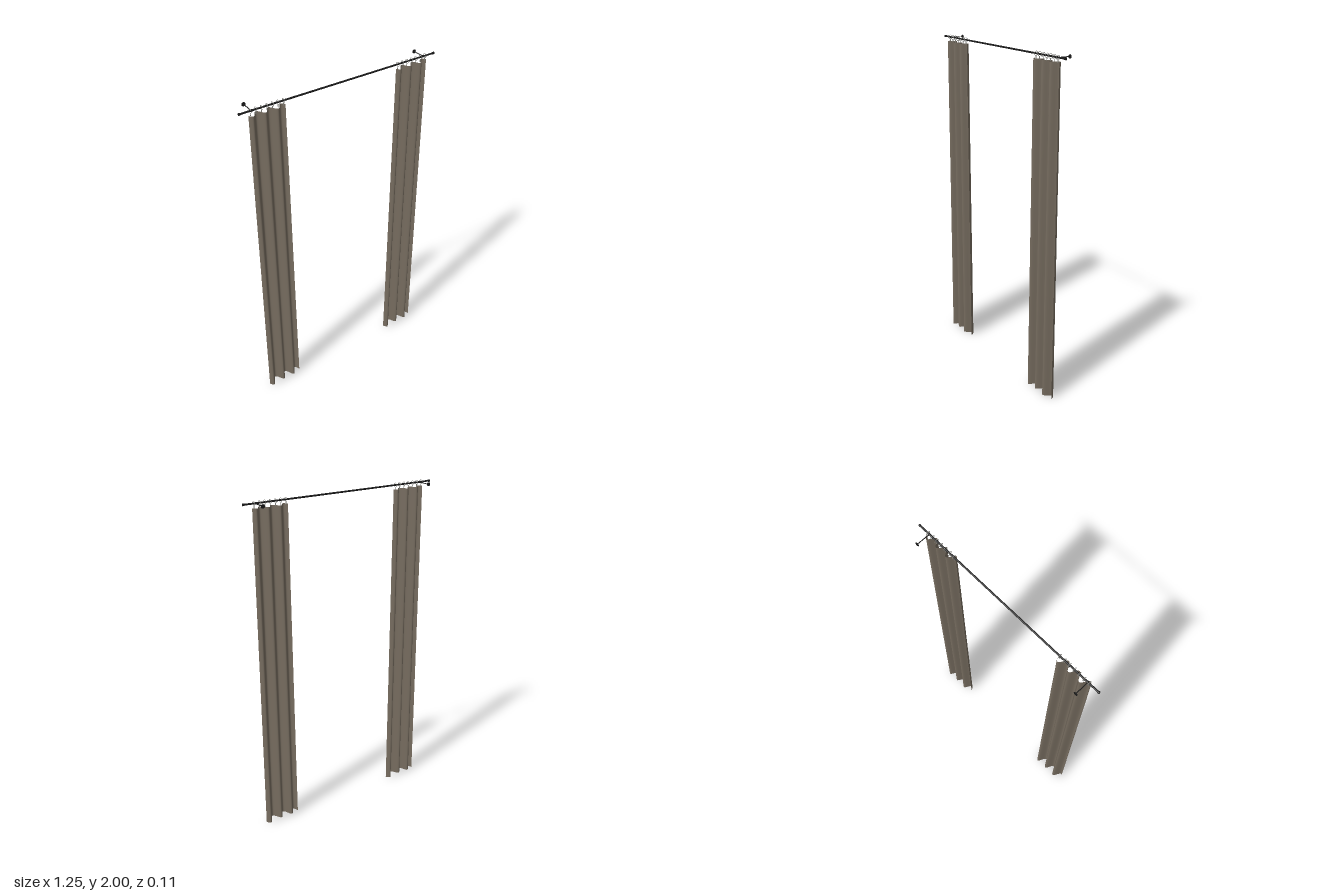
import * as THREE from 'three';

const ROD_Y = 1.987, ROD_Z = 0.027, CURTAIN_X = 0.463, RINGS = 7;

const black = new THREE.MeshStandardMaterial({ color: 0x1a1a1a });
const metal = new THREE.MeshStandardMaterial({ color: 0x8c8c86 });
const fabric = new THREE.MeshStandardMaterial({ color: 0x766c5f, side: THREE.DoubleSide });

function add(parent, name, geometry, material, x = 0, y = 0, z = 0) {
  const mesh = new THREE.Mesh(geometry, material);
  mesh.name = name;
  mesh.position.set(x, y, z);
  parent.add(mesh);
  return mesh;
}

// Cylinder lying along x or z
function bar(radius, length, axis, sides = 16) {
  const g = new THREE.CylinderGeometry(radius, radius, length, sides);
  return axis === 'x' ? g.rotateZ(Math.PI / 2) : g.rotateX(Math.PI / 2);
}

// Pleated sheet: three sine folds, flaring slightly towards an arched hem
function curtainGeometry() {
  const g = new THREE.PlaneGeometry(1, 1, 72, 16);
  const p = g.attributes.position;
  for (let i = 0; i < p.count; i++) {
    const u = p.getX(i) + 0.5;
    const v = p.getY(i) + 0.5;
    const drop = 1 - v;
    const hem = 0.003 + 0.013 * Math.sin(Math.PI * u);
    const width = 0.215 + 0.01 * drop;
    const depth = 0.021 + 0.004 * drop;
    p.setXYZ(i,
      (u - 0.5) * width,
      hem + (1.963 - hem) * v,
      ROD_Z + 0.002 * drop + depth * Math.sin(u * Math.PI * 6));
  }
  g.computeVertexNormals();
  return g;
}

export function createModel() {
  const model = new THREE.Group();
  model.name = 'curtains';

  // Rod with end caps
  add(model, 'rod', bar(0.005, 1.24, 'x'), black, 0, ROD_Y, ROD_Z);

  const sheet = curtainGeometry();
  const ringGeometry = new THREE.TorusGeometry(0.0118, 0.0012, 8, 24).rotateY(Math.PI / 2);
  const clipGeometry = new THREE.BoxGeometry(0.003, 0.016, 0.003);

  for (const side of [-1, 1]) {
    const label = side > 0 ? 'left' : 'right';
    add(model, label + 'EndCap', bar(0.007, 0.01, 'x'), black, side * 0.62, ROD_Y, ROD_Z);

    // Wall bracket: plate, arm and cup around the rod
    const bracket = new THREE.Group();
    bracket.name = label + 'Bracket';
    bracket.position.set(side * 0.55, ROD_Y - 0.002, 0);
    add(bracket, 'wallPlate', bar(0.011, 0.004, 'z', 20), black, 0, 0, -0.055);
    add(bracket, 'arm', bar(0.0025, 0.08, 'z', 10), black, 0, 0, -0.014);
    add(bracket, 'cup', bar(0.0065, 0.008, 'x'), black, 0, 0.002, ROD_Z);
    model.add(bracket);

    // Curtain panel
    add(model, label + 'Curtain', sheet, fabric, side * CURTAIN_X, 0, 0);

    // Rings and clips carrying the panel
    const rings = new THREE.Group();
    rings.name = label + 'Rings';
    for (let i = 0; i < RINGS; i++) {
      const x = side * CURTAIN_X + (i / (RINGS - 1) - 0.5) * 0.192;
      add(rings, 'ring', ringGeometry, metal, x, ROD_Y, ROD_Z);
      add(rings, 'clip', clipGeometry, metal, x, 1.967, ROD_Z);
    }
    model.add(rings);
  }
  return model;
}
